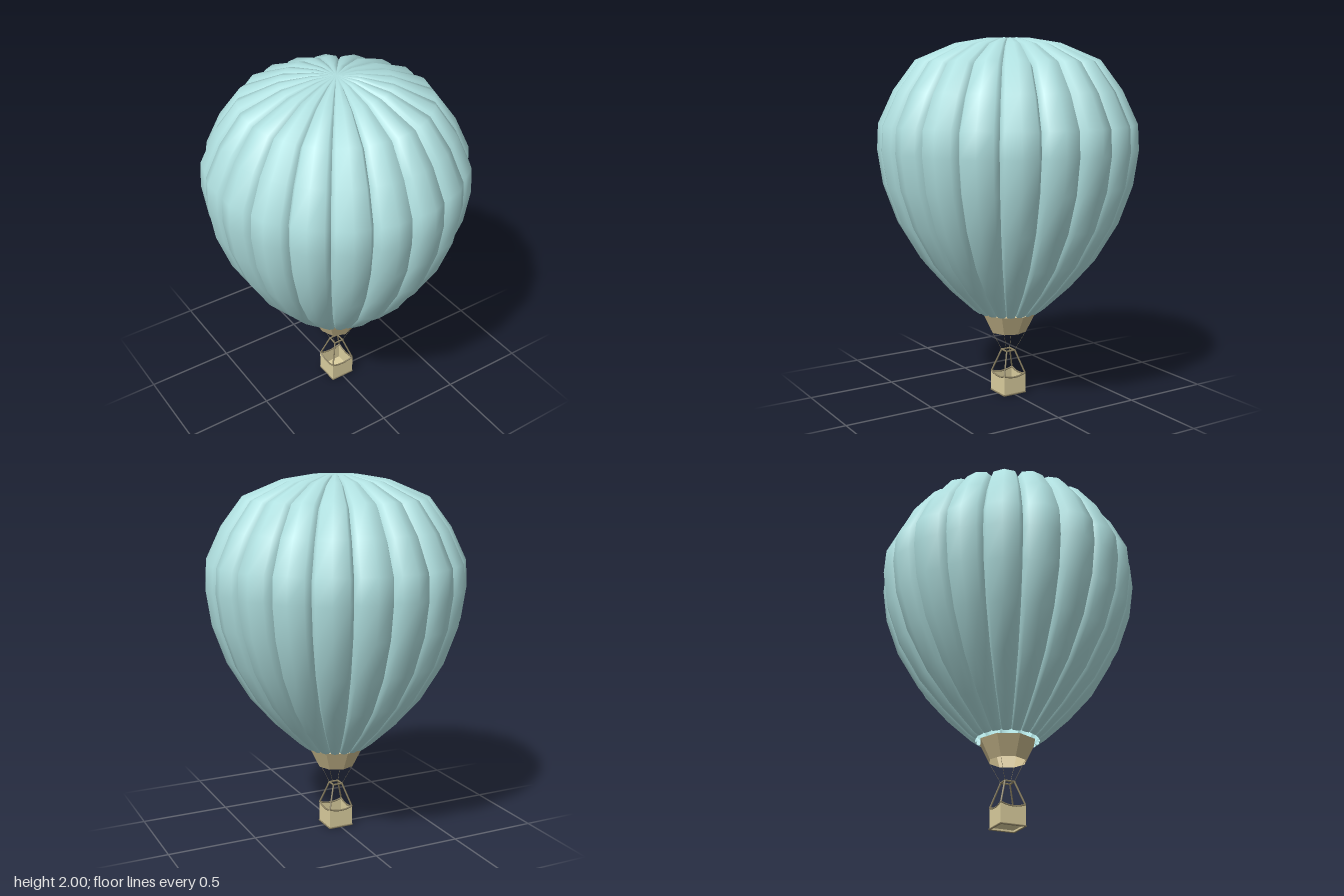
import * as THREE from 'three';

const GORES = 20;
const material = (color, side = THREE.FrontSide) => new THREE.MeshStandardMaterial({ color, side });

function add(parent, name, geometry, mat) {
  const mesh = new THREE.Mesh(geometry, mat);
  mesh.name = name;
  parent.add(mesh);
  return mesh;
}

// Straight round bar between two points
function bar(parent, name, a, b, radius, mat, sides = 6) {
  const from = new THREE.Vector3(...a), dir = new THREE.Vector3(...b).sub(from);
  const mesh = add(parent, name, new THREE.CylinderGeometry(radius, radius, dir.length(), sides), mat);
  mesh.position.copy(from).addScaledVector(dir, 0.5);
  mesh.quaternion.setFromUnitVectors(new THREE.Vector3(0, 1, 0), dir.normalize());
  return mesh;
}

// One bulging fabric panel: the profile swept over its angle, sunk along the profile normal at the seams
function goreGeometry() {
  const profile = [[0.175, 0.475], [0.21, 0.5], [0.35, 0.63], [0.49, 0.79], [0.615, 1.0], [0.69, 1.21], [0.718, 1.4],
    [0.71, 1.54], [0.625, 1.72], [0.505, 1.88], [0.29, 1.97], [0.12, 1.998], [0, 2]];
  const section = [[0, 0.085], [0.12, 0.023], [0.5, 0], [0.88, 0.023], [1, 0.085]];
  const position = [], index = [];
  profile.forEach(([r, y], i) => {
    const [r0, y0] = profile[Math.max(i - 1, 0)];
    const [r1, y1] = profile[Math.min(i + 1, profile.length - 1)];
    const len = Math.hypot(r1 - r0, y1 - y0);
    const nr = (y1 - y0) / len, ny = (r0 - r1) / len;
    section.forEach(([t, sink], j) => {
      const angle = t * Math.PI * 2 / GORES, radius = r - nr * sink * r;
      position.push(radius * Math.sin(angle), y - ny * sink * r, radius * Math.cos(angle));
      if (i && j) {
        const d = i * 5 + j, c = d - 1, b = d - 5, a = b - 1;
        index.push(a, b, d);
        if (i < profile.length - 1) index.push(a, d, c);
        else index.splice(-3, 3, a, b, c);
      }
    });
  });
  const geometry = new THREE.BufferGeometry();
  geometry.setAttribute('position', new THREE.Float32BufferAttribute(position, 3));
  geometry.setIndex(index);
  geometry.computeVertexNormals();
  // Keep the crown smooth where all panels meet
  const normal = geometry.attributes.normal;
  for (let k = normal.count - 5; k < normal.count; k++) normal.setXYZ(k, 0, 1, 0);
  return geometry;
}

export function createModel() {
  const model = new THREE.Group();
  model.name = 'hotAirBalloon';
  const fabric = material(0xb0e0e0, THREE.DoubleSide);
  const canvas = material(0xcdbd90, THREE.DoubleSide);
  const wicker = material(0xdccf9f, THREE.DoubleSide);
  const frame = material(0x8a8062);

  // Envelope
  const envelope = new THREE.Group();
  envelope.name = 'envelope';
  model.add(envelope);
  const gore = goreGeometry();
  for (let i = 0; i < GORES; i++) add(envelope, 'gore', gore, fabric).rotation.y = i * Math.PI * 2 / GORES;

  // Open octagonal skirt under the mouth
  const skirt = new THREE.CylinderGeometry(0.157, 0.102, 0.11, 8, 1, true).toNonIndexed();
  skirt.computeVertexNormals();
  add(model, 'skirt', skirt, canvas).position.y = 0.415;

  // Basket: four walls with sagging tops, rims and floor
  const basket = new THREE.Group();
  basket.name = 'basket';
  model.add(basket);
  const h = 0.071, top = 0.118, dip = 0.088;
  const wallShape = new THREE.Shape();
  wallShape.moveTo(-h, 0.004);
  wallShape.lineTo(h, 0.004);
  wallShape.lineTo(h, top);
  wallShape.quadraticCurveTo(0, dip, -h, top);
  const wall = new THREE.ExtrudeGeometry(wallShape, { depth: 0.005, bevelEnabled: false, curveSegments: 8 });
  wall.translate(0, 0, h - 0.005);
  const rimCurve = new THREE.QuadraticBezierCurve3(
    new THREE.Vector3(-h, top, h - 0.002), new THREE.Vector3(0, dip, h - 0.002), new THREE.Vector3(h, top, h - 0.002));
  const rim = new THREE.TubeGeometry(rimCurve, 8, 0.005, 6);
  for (let i = 0; i < 4; i++) {
    const side = new THREE.Group();
    side.name = 'basketSide';
    side.rotation.y = i * Math.PI / 2;
    basket.add(side);
    add(side, 'wall', wall, wicker);
    add(side, 'topRim', rim, frame);
    bar(side, 'bottomRim', [-h, 0.005, h], [h, 0.005, h], 0.005, frame);
  }
  add(basket, 'floor', new THREE.BoxGeometry(2 * h, 0.006, 2 * h), wicker).position.y = 0.016;

  // Burner frame, its uprights and the ropes up to the skirt
  const rig = new THREE.Group();
  rig.name = 'rigging';
  model.add(rig);
  const f = 0.027, fy = 0.247, s = 0.072;
  for (let i = 0; i < 4; i++) {
    const corner = new THREE.Group();
    corner.name = 'rigCorner';
    corner.rotation.y = i * Math.PI / 2;
    rig.add(corner);
    bar(corner, 'frameBar', [-f - 0.004, fy, f], [f + 0.004, fy, f], 0.005, frame);
    bar(corner, 'upright', [0.069, top, 0.069], [f, fy, f], 0.005, frame);
    bar(corner, 'rope', [f, fy, f], [s, 0.362, s], 0.001, frame, 4);
  }
  return model;
}
